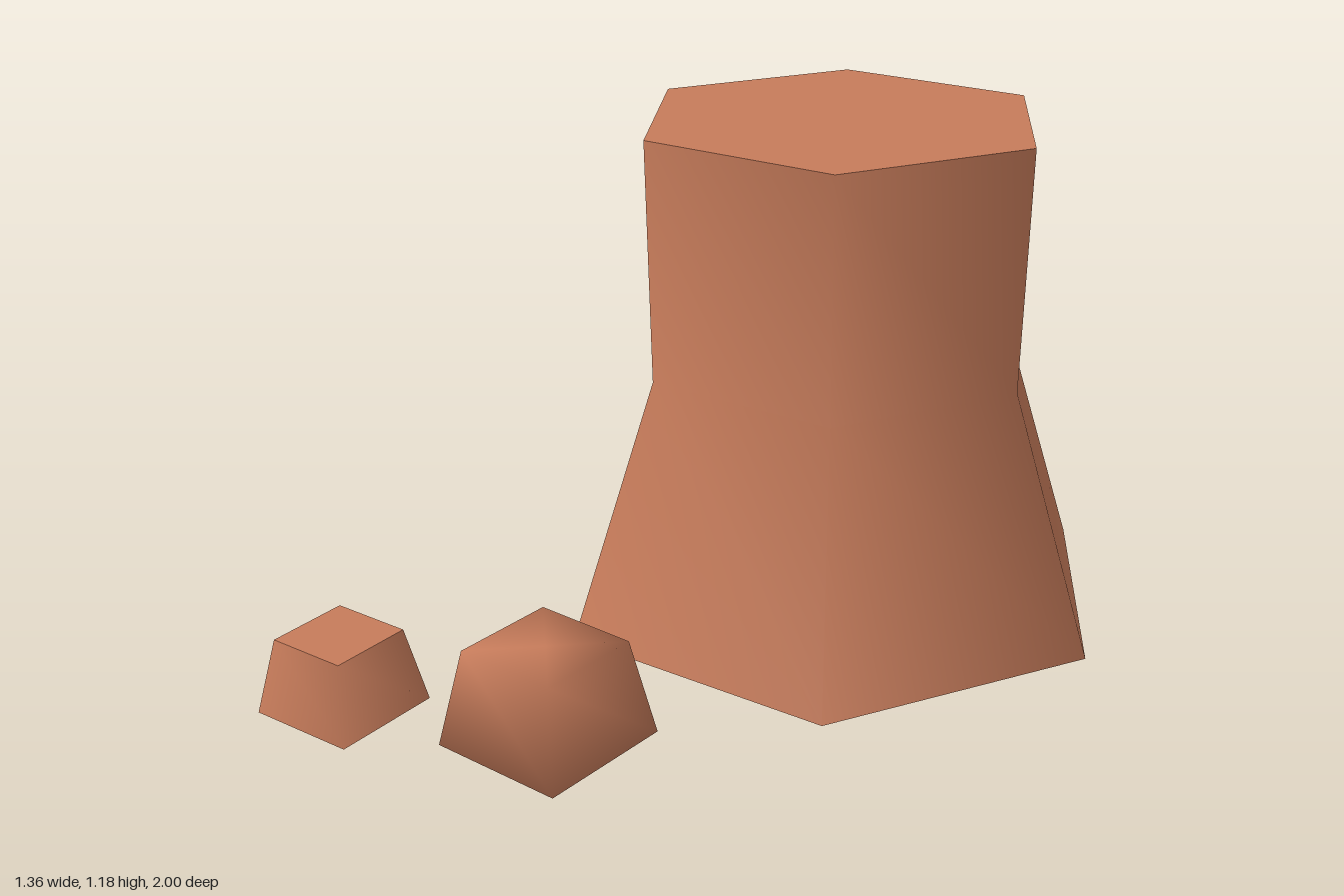
import * as THREE from 'three';
import { mergeGeometries, mergeVertices } from 'three/addons/utils/BufferGeometryUtils.js';

const rad = THREE.MathUtils.degToRad;

// Capped prism with smooth sides; profile is [radius, y] from bottom to top
function prism(profile, sides, turn) {
  const start = rad(turn);
  const points = profile.map(([r, y]) => new THREE.Vector2(r, y));
  const wall = new THREE.LatheGeometry(points, sides, start);
  const [low, high] = [profile[0], profile[profile.length - 1]];
  const bottom = new THREE.CircleGeometry(low[0], sides, Math.PI / 2 - start)
    .rotateX(Math.PI / 2).translate(0, low[1], 0);
  const top = new THREE.CircleGeometry(high[0], sides, start - Math.PI / 2)
    .rotateX(-Math.PI / 2).translate(0, high[1], 0);
  return mergeGeometries([wall, bottom, top]);
}

// Shares every corner, so shading also runs over the caps
function smoothAll(geometry) {
  geometry.deleteAttribute('normal');
  geometry.deleteAttribute('uv');
  const merged = mergeVertices(geometry, 1e-4);
  merged.computeVertexNormals();
  return merged;
}

export function createModel() {
  const model = new THREE.Group();
  model.name = 'rockFormation';
  const clay = new THREE.MeshStandardMaterial({ color: 0xc67b5a });
  clay.name = 'clay rock';

  function add(name, geometry, x, z) {
    const mesh = new THREE.Mesh(geometry, clay);
    mesh.name = name;
    mesh.position.set(x, 0, z);
    model.add(mesh);
  }

  // Six-sided pillar with a flared foot
  add('rockPillar', prism([[0.69, 0], [0.478, 0.615], [0.491, 1.184]], 6, 39.6), 0, -0.353);

  // Two small four-sided stones in front
  add('largerStone', smoothAll(prism([[0.235, 0], [0.177, 0.225]], 4, 50.8)), 0.05, 0.625);
  add('smallerStone', prism([[0.187, 0], [0.139, 0.177]], 4, 53.7), -0.38, 0.85);

  return model;
}
